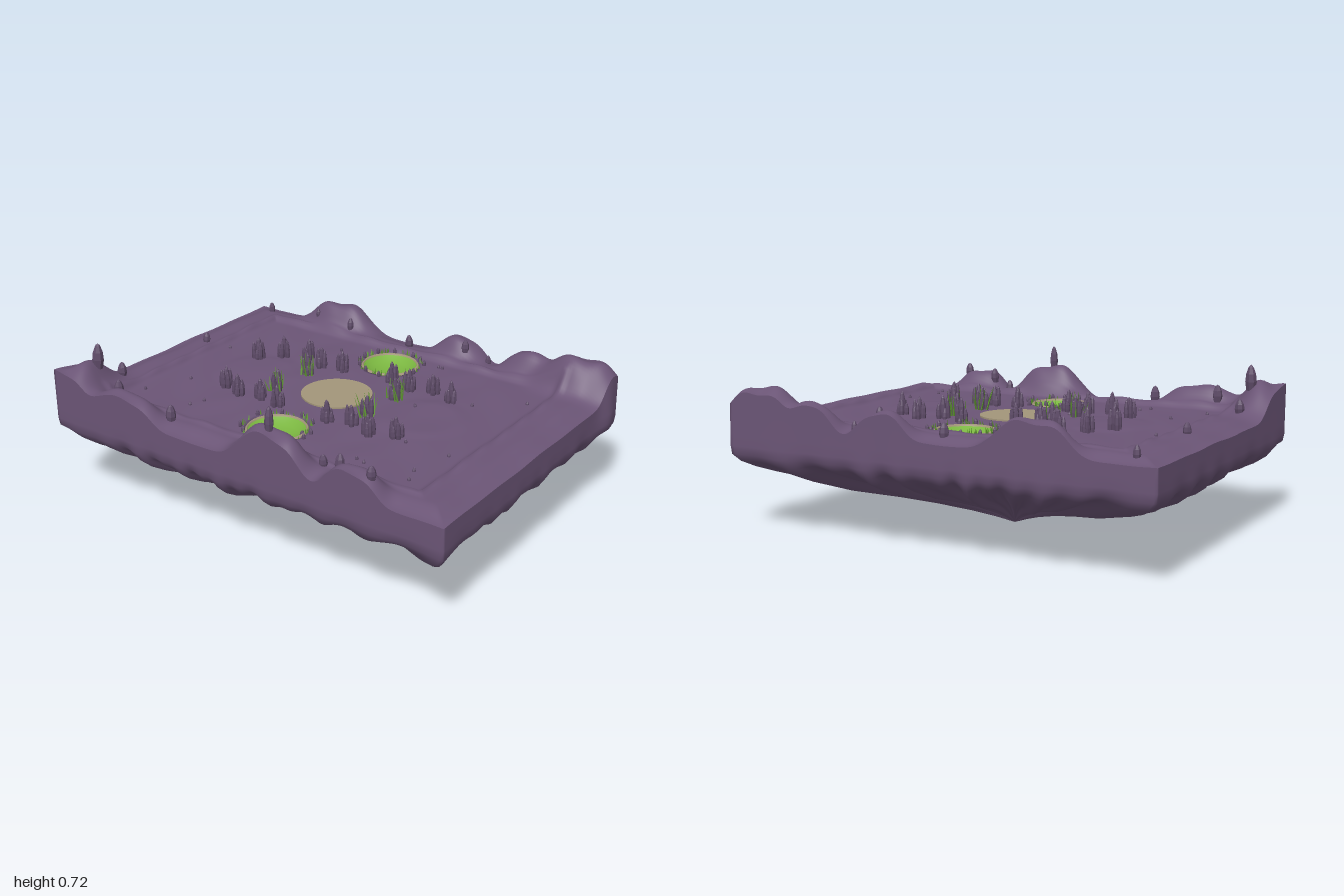
import * as THREE from 'three';
import { mergeGeometries } from 'three/addons/utils/BufferGeometryUtils.js';

const W = 1.454, D = 1.98, CZ = -0.01, NX = 116, NZ = 158;
const FLOOR = 0.478, POOL_X = 0.425, POOL_Z = -0.013;

let seed = 7;
const rand = () => (seed = (seed * 16807) % 2147483647) / 2147483647;
const smooth = THREE.MathUtils.smoothstep;

// rim hills: x, z, radius x, radius z, height
const HILLS = [
  [-0.68, -0.96, 0.22, 0.14, 0.135], [-0.71, -0.62, 0.09, 0.19, 0.1],
  [-0.7, 0.16, 0.1, 0.17, 0.145], [-0.71, 0.56, 0.09, 0.13, 0.1],
  [0.71, -0.48, 0.09, 0.19, 0.125], [0.71, 0.2, 0.085, 0.13, 0.1],
  [0.71, 0.54, 0.085, 0.11, 0.1], [0.69, 0.83, 0.13, 0.2, 0.145],
];

// ground height at any point of the plateau
function ground(x, z) {
  const dx = Math.abs(x) - 0.59, dz = Math.abs(z - CZ) - 0.805;
  const d = Math.max(dx, dz);
  const edge = Math.min(W / 2 - Math.abs(x), D / 2 - Math.abs(z - CZ));
  let y = d > 0 ? 0.492 - 0.026 * (1 - smooth(edge, 0, 0.1)) : FLOOR + 0.014 * smooth(d, -0.035, 0);
  y += 0.01 * Math.exp(-((d / 0.014) ** 2)) * (1 + 0.35 * Math.sin(x * 37 + z * 31));
  const calm = smooth(Math.hypot(x, z - POOL_Z), 0.17, 0.3);
  y += 0.003 * calm * (Math.sin(x * 15 + 2 * Math.sin(z * 9)) * Math.cos(z * 13 + x * 4));
  for (const mz of [-0.45, 0.43]) y += 0.006 * (1 - smooth(Math.hypot(x, z - mz), 0.14, 0.22));
  for (const [hx, hz, rx, rz, h] of HILLS) {
    const q = ((x - hx) / rx) ** 2 + ((z - hz) / rz) ** 2;
    y += h * Math.exp(-(q ** 1.7)) * (1 + 0.06 * Math.sin(z * 33 + x * 21));
  }
  const r = Math.hypot(Math.abs(x) - POOL_X, z - POOL_Z);
  return y - 0.07 * (1 - smooth(r, 0.118, 0.136));
}

function plateauGeometry() {
  const g = new THREE.PlaneGeometry(W, D, NX, NZ).rotateX(-Math.PI / 2).translate(0, 0, CZ);
  const p = g.attributes.position;
  for (let i = 0; i < p.count; i++) p.setY(i, ground(p.getX(i), p.getZ(i)));
  g.computeVertexNormals();
  return g;
}

// side wall and folded underside: rings of the outline shrinking to the foot
function undersideGeometry() {
  const rim = [];
  for (let i = 0; i < NX; i++) rim.push([-W / 2 + (W * i) / NX, D / 2]);
  for (let i = 0; i < NZ; i++) rim.push([W / 2, D / 2 - (D * i) / NZ]);
  for (let i = 0; i < NX; i++) rim.push([W / 2 - (W * i) / NX, -D / 2]);
  for (let i = 0; i < NZ; i++) rim.push([-W / 2, -D / 2 + (D * i) / NZ]);
  // scale, height, fold depth
  const rows = [[1, 0, 0], [1, 0.42, 0], [1.002, 0.37, 0.004], [1, 0.33, 0.012], [0.975, 0.29, 0.03],
    [0.93, 0.258, 0.045], [0.86, 0.228, 0.055], [0.7, 0.18, 0.055], [0.5, 0.14, 0.045],
    [0.34, 0.103, 0.035], [0.18, 0.06, 0.02], [0.08, 0.028, 0.01], [0.004, 0, 0]];
  const pos = [], idx = [], n = rim.length;
  rows.forEach(([s, h, f], k) => rim.forEach(([x, z]) => {
    const a = Math.atan2(z, x);
    const fold = 0.5 + 0.28 * Math.sin(a * 23 + 2 * Math.sin(a * 5)) + 0.22 * Math.sin(a * 41 + 3 * Math.cos(a * 3));
    const sc = s * (1 - f * 0.5 * fold);
    const bulge = k > 0 && k < 5 && z > 0.98 ? 0.02 * Math.exp(-(((x - 0.63) / 0.07) ** 2)) : 0;
    pos.push(x * sc, k ? h + f * fold : ground(x, z + CZ), z * sc + CZ + bulge);
  }));
  for (let k = 0; k < rows.length - 1; k++) for (let i = 0; i < n; i++) {
    const a = k * n + i, b = k * n + (i + 1) % n;
    idx.push(a, a + n, b, b, a + n, b + n);
  }
  const g = new THREE.BufferGeometry();
  g.setAttribute('position', new THREE.Float32BufferAttribute(pos, 3));
  g.setIndex(idx);
  g.computeVertexNormals();
  return g;
}

// one tapered standing stone with a blunt tip
function stone(x, z, r, h, y = ground(x, z) - 0.012) {
  const pts = [[0.8, 0], [1, 0.35], [0.85, 0.65], [0.45, 0.9], [0, 1]].map(([a, b]) => new THREE.Vector2(a * r, b * h));
  return new THREE.LatheGeometry(pts, 7).rotateY(rand() * 6).rotateZ((rand() - 0.5) * 0.15).translate(x, y, z);
}

function blade(x, z, h, y = ground(x, z) - 0.005) {
  return new THREE.ConeGeometry(0.005, h, 3).translate(0, h / 2, 0)
    .rotateZ((rand() - 0.5) * 0.5).rotateX((rand() - 0.5) * 0.5).translate(x, y, z);
}

export function createModel() {
  const group = new THREE.Group();
  const mat = (name, color, opts = {}) => {
    const m = new THREE.MeshStandardMaterial({ color, ...opts });
    m.name = name;
    return m;
  };
  const earth = mat('purple earth', 0x6b5576);
  const rock = mat('dark purple rock', 0x5f4c69, { flatShading: true });
  const sand = mat('pale sand', 0xa3967a, { side: THREE.DoubleSide });
  const green = mat('pool green', 0x7ab540, { side: THREE.DoubleSide });
  const grass = mat('grass green', 0x5d9430, { flatShading: true });
  const add = (name, geo, material) => {
    const m = new THREE.Mesh(geo, material);
    m.name = name;
    group.add(m);
    return m;
  };

  add('plateau', plateauGeometry(), earth);
  add('underside', undersideGeometry(), earth);
  add('centreDisc', new THREE.CylinderGeometry(0.157, 0.157, 0.008, 64), sand).position.set(0, 0.481, POOL_Z);

  // sunken pools with a thin sandy lip
  const bowl = [[0, 0.437], [0.05, 0.441], [0.09, 0.452], [0.122, 0.474]].map((p) => new THREE.Vector2(...p));
  const lip = [[0.122, 0.474], [0.126, 0.483], [0.133, 0.474]].map((p) => new THREE.Vector2(...p));
  for (const s of [-1, 1]) {
    add('pool', new THREE.LatheGeometry(bowl, 40), green).position.set(s * POOL_X, 0, POOL_Z);
    add('poolLip', new THREE.LatheGeometry(lip, 40), sand).position.set(s * POOL_X, 0, POOL_Z);
  }

  const stones = [], blades = [];
  // clumps of standing stones around the centre
  const clumps = [[-0.21, -0.465], [-0.255, -0.36], [-0.225, -0.255], [-0.245, -0.15], [0.125, -0.55],
    [0.215, -0.47], [0.26, -0.36], [0.22, -0.255], [0.23, -0.143], [-0.245, 0.115], [-0.22, 0.222],
    [-0.255, 0.33], [-0.212, 0.44], [0.22, 0.222], [0.257, 0.325], [0.215, 0.44], [0.25, 0.115]];
  const grassy = [[-0.108, -0.258], [0.113, -0.255], [-0.108, 0.222], [0.11, 0.222]];
  for (const [x, z] of [...clumps, ...grassy]) {
    stones.push(stone(x, z, 0.016, 0.105 + rand() * 0.015));
    for (let i = 0; i < 5; i++) {
      const a = (i / 5) * 6.283 + rand();
      stones.push(stone(x + 0.02 * Math.cos(a), z + 0.02 * Math.sin(a), 0.012, 0.06 + rand() * 0.045));
    }
  }
  for (const [x, z] of grassy) for (let i = 0; i < 14; i++) {
    const a = rand() * 6.283, r = 0.015 + rand() * 0.025;
    blades.push(blade(x + r * Math.cos(a), z + r * Math.sin(a), 0.05 + rand() * 0.08));
  }
  // single stones along the rim: x, z, radius, height
  for (const [x, z, r, h] of [[-0.57, -0.89, 0.026, 0.115], [-0.43, -0.89, 0.022, 0.07], [-0.625, -0.715, 0.022, 0.08],
    [-0.645, -0.4, 0.022, 0.08], [-0.685, 0.155, 0.019, 0.11], [-0.615, 0.365, 0.018, 0.06], [-0.655, 0.47, 0.02, 0.07],
    [-0.69, 0.64, 0.02, 0.06], [0.125, -0.87, 0.018, 0.06], [0.65, -0.885, 0.016, 0.06], [0.62, -0.375, 0.016, 0.06],
    [0.635, -0.58, 0.012, 0.04], [0.645, -0.05, 0.02, 0.07], [0.645, 0.255, 0.018, 0.06], [0.68, 0.36, 0.013, 0.05]])
    stones.push(stone(x, z, r, h));
  // scattered pebbles
  for (const [x, z] of [[-0.445, -0.735], [-0.245, -0.645], [-0.46, -0.46], [-0.395, -0.435], [0.155, -0.75],
    [0.375, -0.42], [0.425, -0.29], [-0.145, -0.205], [-0.475, 0.425], [-0.485, 0.465], [-0.5, 0.685], [-0.425, 0.66],
    [-0.24, 0.705], [-0.235, 0.5], [0.235, 0.535], [0.385, 0.72], [0.515, 0.195], [0.515, 0.215], [0.075, 0.345]])
    stones.push(stone(x, z, 0.008, 0.028));
  // pebbles and grass ringing and dotting the pools
  for (const s of [-1, 1]) {
    for (let i = 0; i < 12; i++) {
      const a = i * 0.524 + rand() * 0.4, r = 0.138 + rand() * 0.02;
      stones.push(stone(s * POOL_X + r * Math.cos(a), POOL_Z + r * Math.sin(a), 0.009, 0.035, FLOOR - 0.008));
    }
    for (let i = 0; i < 34; i++) {
      const a = rand() * 6.283, r = 0.13 + rand() * 0.02;
      blades.push(blade(s * POOL_X + r * Math.cos(a), POOL_Z + r * Math.sin(a), 0.02 + rand() * 0.02, FLOOR - 0.004));
    }
    stones.push(stone(s * POOL_X, POOL_Z, 0.01, 0.03, 0.432));
  }
  for (const [x, z] of [[-0.46, 0.08], [-0.385, 0.09]]) stones.push(stone(x, z, 0.012, 0.035, 0.445));

  add('stones', mergeGeometries(stones), rock);
  add('grass', mergeGeometries(blades), grass);
  return group;
}
